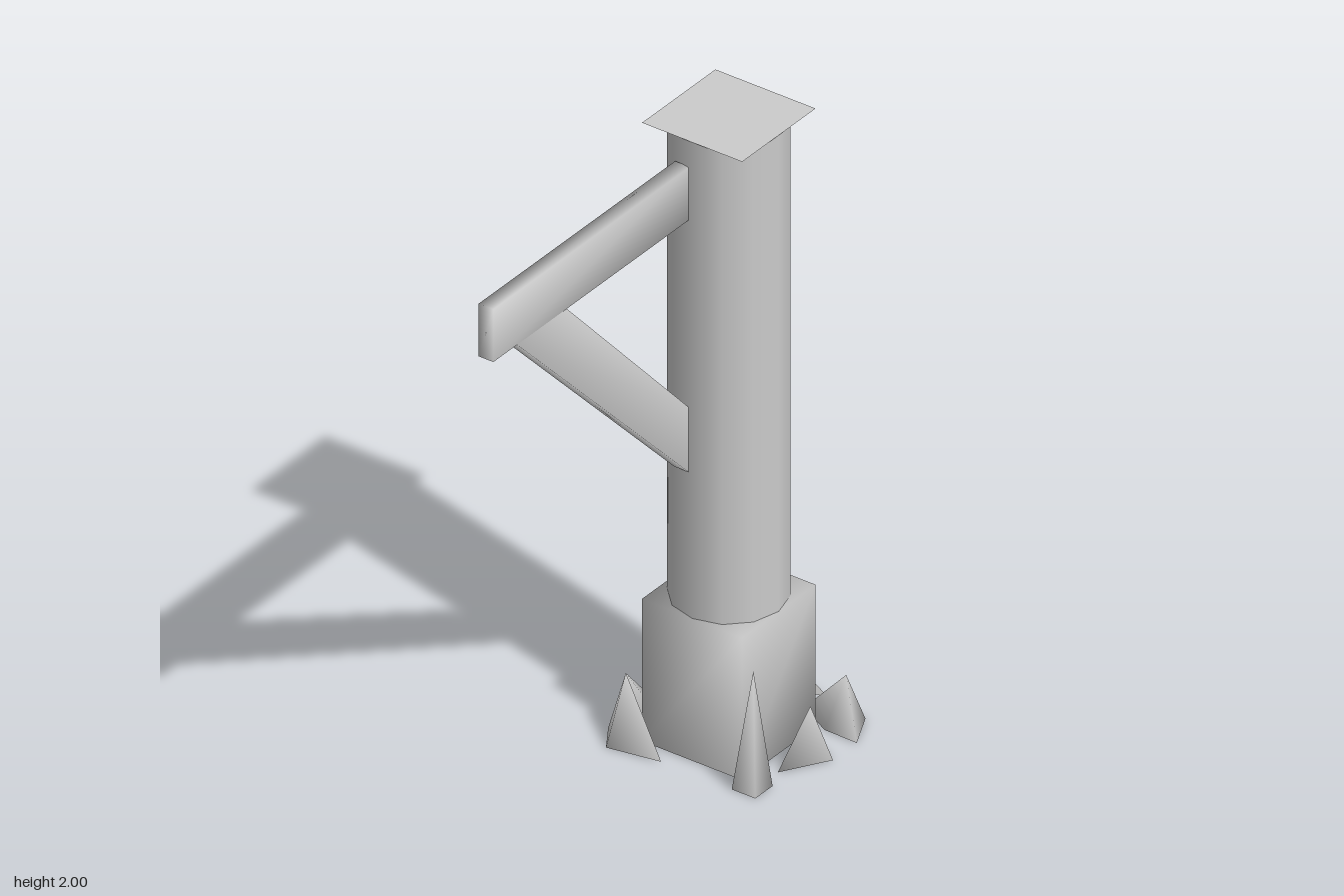
import * as THREE from 'three';
import { mergeVertices } from 'three/addons/utils/BufferGeometryUtils.js';

const grey = new THREE.MeshStandardMaterial({ color: 0xcccccc });
const greyDouble = new THREE.MeshStandardMaterial({ color: 0xcccccc, side: THREE.DoubleSide });

// Share corners so that shading runs smoothly over the edges
function soften(geometry) {
  geometry.deleteAttribute('normal');
  geometry.deleteAttribute('uv');
  const merged = mergeVertices(geometry, 1e-4);
  merged.computeVertexNormals();
  return merged;
}

// Shard: a base outline of [x, z] points on the ground, fanned up to one apex
function shardGeometry(base, apex) {
  const ring = base.slice();
  let area = 0;
  ring.forEach(([x, z], i) => {
    const [nx, nz] = ring[(i + 1) % ring.length];
    area += z * nx - x * nz;
  });
  if (area < 0) ring.reverse();
  const positions = [...apex, apex[0], 0, apex[2]];
  ring.forEach(([x, z]) => positions.push(x, 0, z));
  const index = [];
  ring.forEach((_, i) => {
    const a = 2 + i, b = 2 + ((i + 1) % ring.length);
    index.push(0, a, b, 1, b, a);
  });
  const geometry = new THREE.BufferGeometry();
  geometry.setAttribute('position', new THREE.Float32BufferAttribute(positions, 3));
  geometry.setIndex(index);
  geometry.computeVertexNormals();
  return geometry;
}

export function createModel() {
  const group = new THREE.Group();
  const add = (name, geometry, x = 0, y = 0, z = 0, material = grey) => {
    const mesh = new THREE.Mesh(geometry, material);
    mesh.name = name;
    mesh.position.set(x, y, z);
    group.add(mesh);
    return mesh;
  };

  const postX = 0.36, postZ = -0.015, width = 0.34;
  const footTop = 0.46, top = 2;

  // Square foot, round shaft and thin square cap
  add('postFoot', soften(new THREE.BoxGeometry(width, footTop, width)), postX, footTop / 2, postZ);
  const shaft = new THREE.CylinderGeometry(width / 2, width / 2, top - footTop, 12, 1, true);
  shaft.rotateY(Math.PI / 2);
  add('postShaft', shaft, postX, (top + footTop) / 2, postZ);
  const cap = new THREE.PlaneGeometry(width, width).rotateX(-Math.PI / 2);
  add('postCap', cap, postX, top, postZ, greyDouble);

  // Horizontal arm
  const armZ = -0.055, armDepth = 0.05;
  add('arm', soften(new THREE.BoxGeometry(0.91, 0.17, armDepth)), -0.255, 1.825, armZ);

  // Diagonal brace between arm and post
  const braceShape = new THREE.Shape([
    [-0.6, 1.74], [0.195, 0.925], [0.195, 1.135], [-0.37, 1.74],
  ].map(([x, y]) => new THREE.Vector2(x, y)));
  const brace = new THREE.ExtrudeGeometry(braceShape, { depth: armDepth, bevelEnabled: false });
  add('brace', soften(brace), 0, 0, armZ - armDepth / 2);

  // Ring of stone shards around the foot
  const shards = {
    spikeShard: [[[0.135, 0.16], [0.135, 0.24], [0.215, 0.24]], [0.16, 0.39, 0.215]],
    frontShard: [[[0.28, 0.21], [0.42, 0.295], [0.475, 0.185]], [0.39, 0.17, 0.24]],
    frontLeftShard: [
      [[0.53, 0.295], [0.645, 0.24], [0.59, 0.07], [0.532, 0.185]], [0.59, 0.16, 0.215]],
    backLeftShard: [
      [[0.42, -0.25], [0.59, -0.19], [0.675, 0.09], [0.703, -0.215], [0.59, -0.27]],
      [0.645, 0.23, -0.21]],
    backRightShard: [
      [[0.105, -0.245], [0.135, -0.08], [0.19, -0.22], [0.335, -0.245], [0.39, -0.3], [0.19, -0.3]],
      [0.19, 0.2, -0.24]],
  };
  for (const [name, [base, apex]] of Object.entries(shards)) {
    add(name, shardGeometry(base, apex), 0, 0, 0, greyDouble);
  }

  return group;
}
